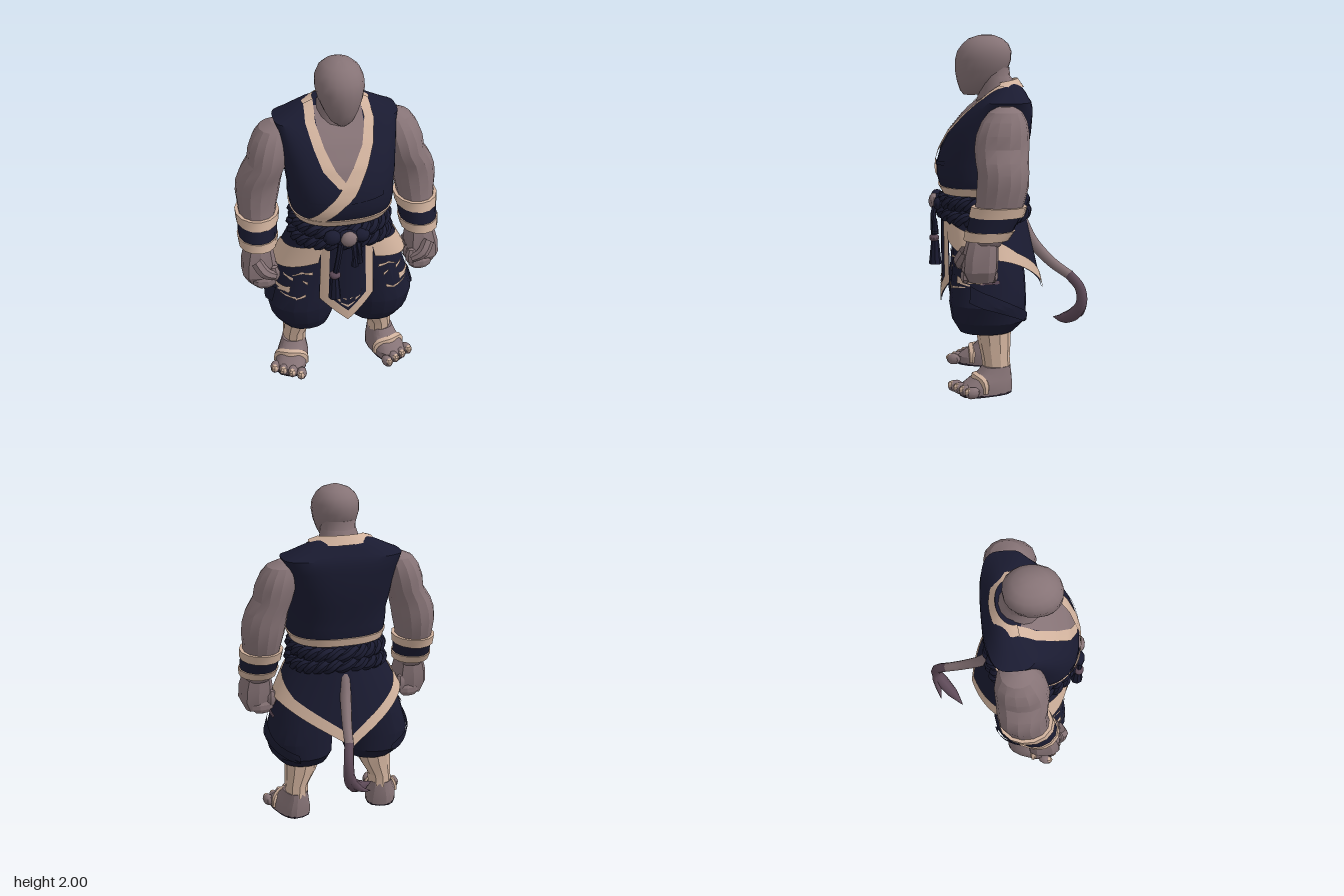
import * as THREE from 'three';
import { toCreasedNormals } from 'three/addons/utils/BufferGeometryUtils.js';

const V = (x, y, z) => new THREE.Vector3(x, y, z);
const spow = (v, e) => Math.sign(v) * Math.abs(v) ** e;
const lerp = THREE.MathUtils.lerp;

function geo(pos, idx) {
  const g = new THREE.BufferGeometry();
  g.setAttribute('position', new THREE.Float32BufferAttribute(pos, 3));
  g.setIndex(idx);
  return g;
}

// Point on a superelliptic ring [y, centre x, half width, front z, back z, own exponent]
function ringPoint([y, xc, rx, zf, zb, m], a, n, off = 0) {
  const e = 2 / (m ?? n);
  return [xc + (rx + off) * spow(Math.sin(a), e), y, (zf + zb) / 2 + ((zf - zb) / 2 + off) * spow(Math.cos(a), e)];
}

// Closed skin through rings listed from bottom to top
function loft(rings, seg = 14, n = 2) {
  const pos = [], idx = [], R = rings.length;
  rings.forEach(r => { for (let i = 0; i < seg; i++) pos.push(...ringPoint(r, i / seg * Math.PI * 2, n)); });
  for (const r of [rings[0], rings[R - 1]]) pos.push(r[1], r[0], (r[3] + r[4]) / 2);
  for (let i = 0; i < seg; i++) {
    const j = (i + 1) % seg, t = (R - 1) * seg;
    for (let k = 0; k < R - 1; k++) {
      const a = k * seg + i, b = k * seg + j;
      idx.push(a, b, b + seg, a, b + seg, a + seg);
    }
    idx.push(R * seg, j, i, R * seg + 1, t + i, t + j);
  }
  return geo(pos, idx);
}

// Ring interpolated at height y
function ringAt(rings, y) {
  let k = 0;
  while (k < rings.length - 2 && rings[k + 1][0] < y) k++;
  const a = rings[k], b = rings[k + 1], t = THREE.MathUtils.clamp((y - a[0]) / (b[0] - a[0]), 0, 1);
  return a.map((v, i) => (i ? lerp(v, b[i], t) : y));
}

// Maps (x, y) onto the front of a loft
const onFront = (rings, n, off) => (x, y) => {
  const [, xc, rx, zf, zb, m = n] = ringAt(rings, y), u = Math.min(1, Math.abs((x - xc) / rx));
  return [x, y, (zf + zb) / 2 + (zf - zb) / 2 * (1 - u ** m) ** (1 / m) + off];
};

// Sheet between two polylines of (u, v), placed in space by map
function patch(A, B, map, cols = 4, sub = 6) {
  const pos = [], idx = [], rows = (A.length - 1) * sub;
  for (let r = 0; r <= rows; r++) {
    const k = Math.min(Math.floor(r / sub), A.length - 2), t = r / sub - k;
    const p = [0, 1].map(i => lerp(A[k][i], A[k + 1][i], t)), q = [0, 1].map(i => lerp(B[k][i], B[k + 1][i], t));
    for (let c = 0; c <= cols; c++) pos.push(...map(lerp(p[0], q[0], c / cols), lerp(p[1], q[1], c / cols)));
  }
  for (let r = 0; r < rows; r++) for (let c = 0; c < cols; c++) {
    const a = r * (cols + 1) + c, b = a + cols + 1;
    idx.push(a, b, b + 1, a, b + 1, a + 1);
  }
  return geo(pos, idx);
}
const flip = list => list.map(([x, y]) => [-x, y]);

// Tube whose radius follows a list of values
function taperTube(points, radii, seg = 24, sides = 8) {
  const curve = new THREE.CatmullRomCurve3(points.map(p => V(...p)));
  const g = new THREE.TubeGeometry(curve, seg, 1, sides), p = g.attributes.position, v = V();
  for (let i = 0; i <= seg; i++) {
    const c = curve.getPointAt(i / seg), f = i / seg * (radii.length - 1), k = Math.min(Math.floor(f), radii.length - 2);
    const r = lerp(radii[k], radii[k + 1], f - k);
    for (let j = 0; j <= sides; j++) {
      const m = i * (sides + 1) + j;
      v.fromBufferAttribute(p, m).sub(c).multiplyScalar(r).add(c);
      p.setXYZ(m, v.x, v.y, v.z);
    }
  }
  return g;
}
const ball = (c, r, w = 10, h = 7) => new THREE.SphereGeometry(1, w, h).scale(...r).translate(...c);

export function createModel() {
  const mat = (name, color) => Object.assign(new THREE.MeshStandardMaterial({ color, side: THREE.DoubleSide }), { name });
  const skin = mat('skin', 0x867376), cloth = mat('navyCloth', 0x1a1b31), trim = mat('beigeTrim', 0xd1b29d);
  const plum = mat('plum', 0x5e4a58), sole = mat('darkSole', 0x2c2432);
  const root = new THREE.Group();
  root.name = 'fighter';
  const add = (name, g, m, parent = root, crease = 0.6) => {
    const mesh = new THREE.Mesh(toCreasedNormals(g, crease), m);
    mesh.name = name;
    parent.add(mesh);
  };

  // Head and neck
  add('head', loft([[1.665, 0, .03, .25, .16], [1.69, 0, .065, .27, .12], [1.74, 0, .095, .287, .05], [1.8, 0, .12, .298, 0],
    [1.86, 0, .133, .298, -.02], [1.91, 0, .13, .285, -.022], [1.95, 0, .112, .255, -.005], [1.98, 0, .08, .22, .03],
    [2, 0, .03, .16, .08]], 20, 2.1), skin, root, 1);
  add('neck', loft([[1.55, 0, .15, .2, -.06], [1.66, 0, .125, .17, -.055], [1.73, 0, .11, .17, -.045], [1.77, 0, .1, .17, -.015],
    [1.82, 0, .1, .17, -.01]]), skin);

  // Sleeveless jacket
  const torso = [[1.15, 0, .28, .385, -.08, 2.5], [1.17, 0, .285, .395, -.085, 2.5], [1.22, 0, .293, .408, -.09, 2.5],
    [1.29, 0, .293, .405, -.1, 2.5], [1.36, 0, .303, .385, -.115, 2.6], [1.46, 0, .312, .335, -.13, 2.8], [1.56, 0, .325, .25, -.135, 3.2],
    [1.6, 0, .332, .205, -.133, 3.4], [1.635, 0, .345, .165, -.125, 3.4], [1.65, 0, .315, .145, -.115, 3], [1.68, 0, .255, .115, -.1, 2.7],
    [1.715, 0, .185, .07, -.075, 2.4], [1.735, 0, .13, .045, -.055, 2.2]];
  add('jacket', loft(torso, 48), cloth);
  add('chest', patch([[-.13, 1.71], [-.13, 1.6], [-.11, 1.5], [-.02, 1.36]], [[.13, 1.71], [.13, 1.6], [.1, 1.5], [.02, 1.36]],
    onFront(torso, 2.5, .004), 10), skin);
  add('underCollar', patch([[-.178, 1.717], [-.188, 1.65], [-.165, 1.55], [-.13, 1.45], [-.05, 1.36]],
    [[-.125, 1.735], [-.135, 1.65], [-.108, 1.55], [-.062, 1.45], [.01, 1.36]], onFront(torso, 2.5, .007)), trim);
  add('overCollar', patch([[.178, 1.717], [.188, 1.65], [.16, 1.55], [.105, 1.44], [.035, 1.32], [-.13, 1.165]],
    [[.125, 1.735], [.135, 1.65], [.098, 1.55], [.02, 1.44], [-.07, 1.32], [-.22, 1.165]], onFront(torso, 2.5, .012)), trim);
  // Collar round the back of the neck: u is the angle, v runs from outer to inner edge
  add('backCollar', patch([[1.35, 0], [4.933, 0]], [[1.35, 1], [4.933, 1]], (a, v) => [lerp(.186, .128, v) * Math.sin(a),
    lerp(1.717, 1.742, v) - lerp(-.008, .016, v) * Math.cos(a), .03 + lerp(.122, .088, v) * Math.cos(a)], 2, 24), trim);
  // Overlapping flap edge across the belly
  add('jacketFold', patch([[.2, 1.31], [0, 1.29], [-.24, 1.28]], [[.2, 1.285], [0, 1.27], [-.24, 1.265]], onFront(torso, 2.5, .006), 2), cloth);
  add('waistBand', loft([[1.115, 0, .272, .375, -.085], [1.16, 0, .29, .4, -.095]], 40, 2.5), trim);
  add('hips', loft([[.72, 0, .2, .28, -.06], [.85, 0, .27, .32, -.08], [1.0, 0, .25, .34, -.08], [1.13, 0, .25, .35, -.07]], 20, 2.3), cloth);

  // Twisted rope belt, two rounds of two strands, the lower one sagging at the sides
  for (const [y, grow, sag] of [[1.065, 0, 0], [1.005, .008, .03]]) for (const phase of [0, Math.PI]) {
    const pts = [];
    for (let i = 0; i < 120; i++) {
      const a = i / 120 * Math.PI * 2, h = a * 12 + phase;
      const p = ringPoint([y, 0, .25, .365, -.085], a, 2.3, grow + .02 * Math.cos(h));
      pts.push(V(p[0], p[1] + .02 * Math.sin(h) - sag * Math.sin(a) ** 2, p[2]));
    }
    add('ropeBelt', new THREE.TubeGeometry(new THREE.CatmullRomCurve3(pts, true), 180, .026, 6, true), cloth);
  }
  add('knotLoop', ball([-.095, 1.065, .405], [.05, .045, .04]), cloth);
  add('knotLoop', ball([.07, 1.05, .39], [.05, .04, .04]), cloth);
  add('knot', ball([-.01, 1.04, .4], [.07, .06, .035]), cloth);
  add('knotButton', ball([-.005, 1.055, .425], [.047, .047, .03], 12), skin);
  for (const [x0, x1, y1] of [[-.05, -.085, .82], [.02, .03, .93], [.045, .055, .95]])
    add('cord', taperTube([[x0, 1.03, .42], [(x0 + x1) / 2, (1.03 + y1) / 2, .43], [x1, y1, .425]], [.016, .016], 8, 6), cloth);
  const tassel = (x, top, len, r) => add('tassel', new THREE.CylinderGeometry(r * .6, r, len, 8).translate(x, top - len / 2, .42), cloth);
  tassel(-.085, .81, .14, .037);
  tassel(.03, .94, .07, .022);
  tassel(.055, .96, .07, .02);
  add('tasselBead', ball([-.085, .825, .425], [.034, .024, .03]), plum);

  // Wrap skirt: u is the angle, v runs from waist to hem
  const skirt = off => (a, v) => {
    const s = Math.abs(Math.sin(a)), c = Math.cos(a);
    const hem = c > 0 ? .78 + .14 * (1 - s) : .53 + .25 * s ** .9;
    const y = lerp(1.04, hem, v), d = 1.04 - y;
    return ringPoint([y, 0, .25 + d * .5, .36, -.09 - d * .22, c > 0 ? 2.5 : 1.8], a, 2, off);
  };
  const half = Math.PI, end = half * 2;
  add('skirt', patch([[.4, 0], [end - .4, 0]], [[.4, 1], [end - .4, 1]], skirt(0), 6, 60), cloth);
  const upper = [[.4, .35], [1.57, .54], [2.2, .78], [half, .87]], lower = upper.map(([a]) => [a, 1]);
  const around = list => list.map(([a, v]) => [end - a, v]);
  add('skirtTrim', patch(upper, lower, skirt(.008), 3, 12), trim);
  add('skirtTrim', patch(around(upper), around(lower), skirt(.008), 3, 12), trim);

  // Pointed front panel with border and small marks
  const panelZ = off => (x, y) => [x, y, .385 + off - x * x * 1.9];
  const outer = [[-.145, 1.03], [-.157, .61], [0, .465]], inner = [[-.1, 1.03], [-.108, .635], [0, .53]];
  add('frontPanel', patch(outer, flip(outer), panelZ(0), 8), cloth);
  add('panelTrim', patch(outer, inner, panelZ(.006)), trim);
  add('panelTrim', patch(flip(outer), flip(inner), panelZ(.006)), trim);
  for (const s of [-1, 1]) for (const [x0, y0, x1, y1, w, m] of [[.075, .62, .045, .595, .02, trim], [.04, .585, 0, .555, .016, trim],
    [.085, .665, .07, .635, .012, plum], [.03, .62, .01, .605, .012, trim]])
    add('panelMark', patch([[s * x0, y0], [s * x1, y1]], [[s * x0, y0 + w * .4], [s * x1, y1 + w]], panelZ(.006), 2, 2), m);

  // Tail and its tuft
  add('tail', taperTube([[.01, .94, -.08], [.02, .82, -.14], [.045, .7, -.25], [.065, .62, -.36]], [.035, .034, .03, .027]), skin, root, 1);
  add('tailEnd', taperTube([[.063, .63, -.35], [.085, .55, -.415], [.085, .46, -.425], [.05, .39, -.39], [-.02, .345, -.33], [-.09, .335, -.28]],
    [.028, .029, .032, .04, .032, .002]), plum, root, 1);
  add('tailTuft', taperTube([[.085, .5, -.425], [.06, .42, -.43], [.01, .37, -.42], [-.045, .35, -.41]], [.02, .026, .018, .002]), plum, root, 1);

  for (const s of [1, -1]) {
    const side = new THREE.Group();
    side.name = s > 0 ? 'leftLimbs' : 'rightLimbs';
    root.add(side);
    const put = (name, g, m, crease) => add(name, g, m, side, crease);
    const mx = rings => rings.map(([y, x, ...r]) => [y, s * x, ...r]);

    // Arm with deltoid, biceps and forearm swelling in the outline
    const arm = mx([[.88, .47, .075, .25, .07], [.93, .47, .095, .25, .03], [1.04, .462, .1, .22, -.04], [1.12, .458, .108, .2, -.065],
      [1.2, .452, .122, .195, -.085], [1.27, .442, .125, .19, -.088], [1.33, .425, .12, .2, -.088], [1.4, .39, .11, .205, -.092],
      [1.47, .375, .115, .195, -.095], [1.54, .355, .107, .165, -.085], [1.59, .335, .09, .125, -.06], [1.62, .3, .06, .08, -.02]]);
    put('arm', loft(arm, 14, 2.1), skin, .35);
    // Wrist guard
    const cuff = (name, y0, y1, off, m) => put(name, loft([y0, y1].map(y => {
      const [h, x, rx, zf, zb] = ringAt(arm, y);
      return [h, x, rx + off, zf + off, zb - off];
    }), 14), m);
    cuff('wristGuard', .94, 1.08, .012, cloth);
    cuff('guardBand', 1.04, 1.095, .02, trim);
    cuff('guardBand', .915, .965, .02, trim);

    // Fist
    put('fist', loft(mx([[.69, .475, .07, .25, .1], [.75, .48, .095, .28, .085], [.83, .475, .095, .275, .08], [.92, .47, .075, .25, .08]]), 10, 3), skin, .35);
    for (let i = 0; i < 4; i++) {
      const z = .11 + i * .05;
      put('finger', ball([s * .455, .715, z], [.07, .045, .028], 7, 5), skin, .35);
      put('fingertip', ball([s * .4, .765, z], [.035, .055, .026], 7, 5), skin, .35);
    }
    put('thumb', taperTube([[s * .5, .86, .26], [s * .46, .8, .29], [s * .4, .76, .28]], [.035, .035, .024], 6, 7), skin, .35);

    // Baggy trouser leg
    const leg = mx([[.335, .205, .1, .23, .03], [.35, .21, .145, .29, -.02], [.42, .225, .185, .33, -.085], [.52, .232, .2, .345, -.09],
      [.65, .21, .186, .33, -.085], [.8, .18, .168, .318, -.07], [.92, .15, .12, .3, -.05]]);
    put('trouserLeg', loft(leg, 18, 2.2), cloth, .4);
    // Side fold ending in a flap at the back
    put('trouserFold', patch([[1.1, .64], [2.9, .46]], [[1.1, .55], [2.9, .4]],
      (a, y) => ringPoint(ringAt(leg, y), s * a, 2.2, .01), 3, 10), cloth, .4);
    // Painted marks and side strap
    const marks = [[.19, .765, .25, .775, .02], [.25, .775, .3, .75, .014], [.3, .72, .345, .735, .02], [.22, .7, .25, .725, .022],
      [.235, .625, .29, .605, .02], [.29, .61, .37, .625, .014], [.32, .65, .38, .635, .016]];
    for (const [x0, y0, x1, y1, w] of marks)
      put('trouserMark', patch([[s * x0, y0], [s * x1, y1]], [[s * x0, y0 + w], [s * x1, y1 + w * .5]], onFront(leg, 2.2, .007), 2, 5), trim);
    const onLeg = (a, y) => ringPoint(ringAt(leg, y), s * a, 2.2, .007);
    put('sideStrap', patch([[.6, .64], [.8, .65], [1.4, .652]], [[.6, .685], [.8, .675], [1.4, .67]], onLeg, 1, 8), trim);
    put('strapEnd', patch([[1.35, .646], [1.8, .652]], [[1.35, .676], [1.8, .668]], onLeg, 1, 4), plum);

    // Wrapped shin
    put('shinWrap', loft(mx([[.13, .265, .068, .16, 0], [.2, .262, .07, .165, .005], [.29, .235, .095, .185, -.002], [.37, .22, .11, .2, -.005]]), 10), trim, .35);

    // Foot, turned outward
    const foot = new THREE.Group();
    foot.name = 'foot';
    foot.position.set(s * .27, 0, .08);
    foot.rotation.y = s * .32;
    side.add(foot);
    add('sole', loft([[0, 0, .092, .22, -.08], [.012, 0, .094, .225, -.083]], 14, 2.8), sole, foot);
    const footRings = [[.01, 0, .094, .22, -.083], [.05, 0, .094, .215, -.085], [.085, 0, .083, .165, -.083], [.12, 0, .073, .11, -.08],
      [.155, 0, .066, .08, -.075]];
    add('footBody', loft(footRings, 18, 2.6), skin, foot, .4);
    // Strap over the instep: u across, v up the foot
    const instep = [[-.092, .02], [-.078, .075], [0, .1], [.078, .075], [.092, .02]];
    add('footStrap', taperTube(instep.map(([x, y]) => [x, y, x ? .1 : .125]), [.015, .024, .026, .024, .015], 20, 6), trim, foot);
    for (let i = 0; i < 4; i++) {
      const x = s * (-.08 + i * .055), z = .22 - i * .014;
      add('toe', ball([x, .034, z], [.031, .034, .045], 8, 6), skin, foot);
      add('toenail', ball([x, .042, z + .02], [.023, .024, .027], 7, 5), trim, foot);
    }
  }
  return root;
}
